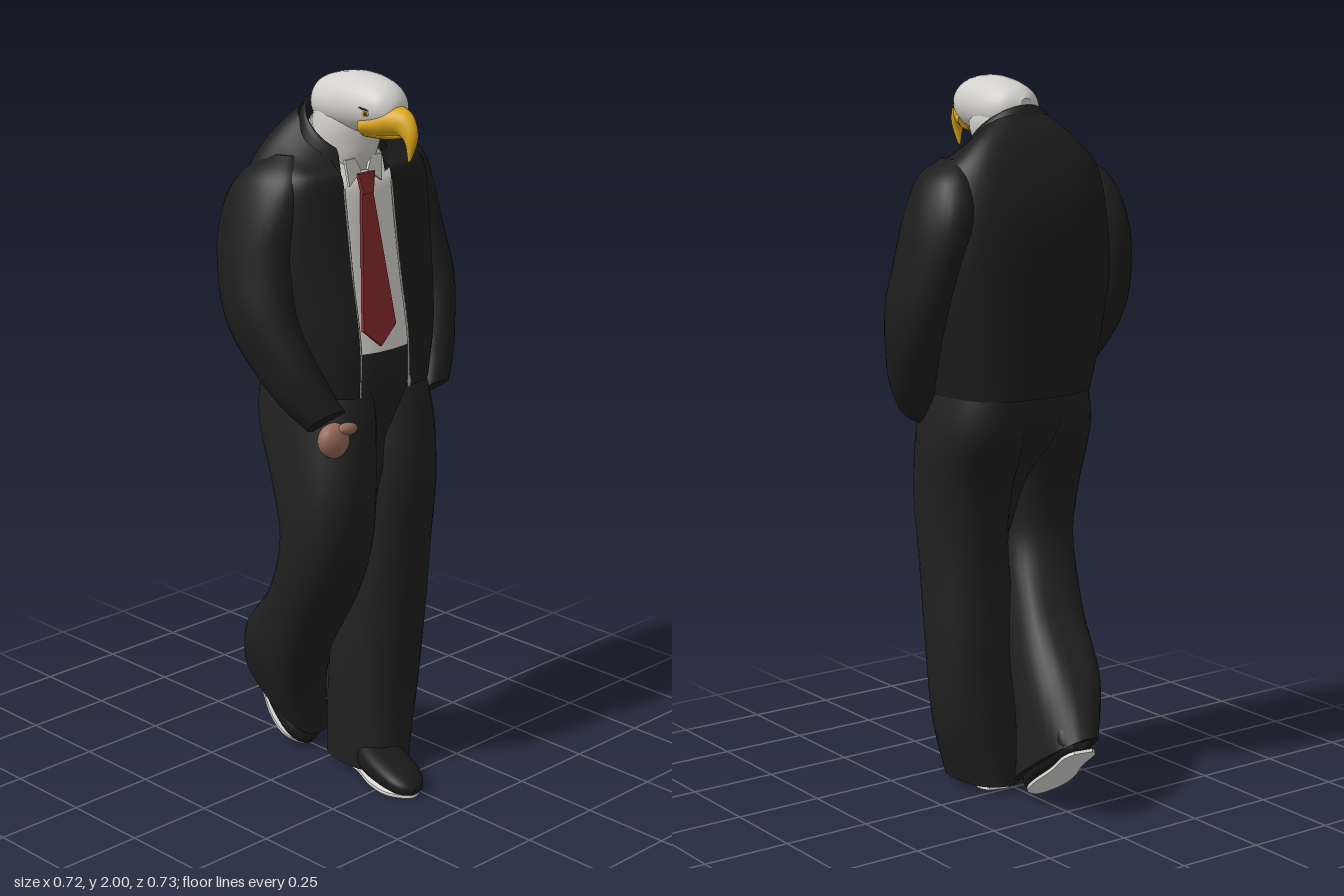
import * as THREE from 'three';

const mat = (name, color, side = THREE.FrontSide) => {
  const m = new THREE.MeshStandardMaterial({ color, side });
  m.name = name;
  return m;
};

// Smooth value of a list of sections [x, y, z, rx, rz, tiltDegrees] at s in 0..1
function sample(secs, s) {
  const f = s * (secs.length - 1), i = Math.min(Math.floor(f), secs.length - 2), t = f - i;
  const at = (k, c) => secs[Math.max(0, Math.min(secs.length - 1, k))][c] ?? 0;
  return [0, 1, 2, 3, 4, 5].map((c) => {
    const p0 = at(i - 1, c), p1 = at(i, c), p2 = at(i + 1, c), p3 = at(i + 2, c);
    return p1 + 0.5 * t * (p2 - p0 + t * (2 * p0 - 5 * p1 + 4 * p2 - p3 + t * (3 * (p1 - p2) + p3 - p0)));
  });
}

// Point on a tilted superellipse section
function ringPoint([x, y, z, rx, rz, tilt], a, n, k = 1) {
  const pw = (v) => Math.sign(v) * Math.abs(v) ** (2 / n);
  const w = k * rz * pw(Math.sin(a)), r = THREE.MathUtils.degToRad(tilt);
  return new THREE.Vector3(x + k * rx * pw(Math.cos(a)), y - w * Math.sin(r), z + w * Math.cos(r));
}

// Angles of a section left uncovered between two x positions at the front
function gapAngles(sec, [xl, xr], n) {
  const ang = (x) => {
    const u = THREE.MathUtils.clamp((x - sec[0]) / sec[3], -0.98, 0.98);
    return Math.acos(Math.sign(u) * Math.abs(u) ** (n / 2));
  };
  return [ang(xl), ang(xr) + Math.PI * 2];
}

// Skin over sections; with a gap the skin stays open at the front
function loft(name, secs, material, { n = 2, rows = 28, cols = 32, fold = 0, gap = null } = {}) {
  const pos = [], idx = [], w = cols + 1;
  for (let i = 0; i <= rows; i++) {
    const s = i / rows, sec = sample(secs, s);
    const [a0, a1] = gap ? gapAngles(sec, gap, n) : [0, Math.PI * 2];
    for (let j = 0; j <= cols; j++) {
      const a = a0 + ((a1 - a0) * j) / cols;
      const k = 1 + fold * (Math.sin(3 * a + 11 * s) + 0.6 * Math.sin(7 * a - 15 * s));
      pos.push(...ringPoint(sec, a, n, k).toArray());
    }
  }
  const col = (j) => (gap ? j : j % cols);
  for (let i = 0; i < rows; i++) for (let j = 0; j < cols; j++) {
    const a = i * w + col(j), b = i * w + col(j + 1);
    idx.push(a, a + w, b, b, a + w, b + w);
  }
  if (!gap) for (const [row, flip] of [[0, false], [rows, true]]) {
    const base = pos.length / 3, c = sample(secs, row / rows);
    pos.push(c[0], c[1], c[2]);
    for (let j = 0; j < cols; j++) {
      const q = (row * w + j) * 3;
      pos.push(pos[q], pos[q + 1], pos[q + 2]);
    }
    for (let j = 0; j < cols; j++) {
      const p = base + 1 + j, q = base + 1 + ((j + 1) % cols);
      idx.push(base, flip ? q : p, flip ? p : q);
    }
  }
  const g = new THREE.BufferGeometry();
  g.setAttribute('position', new THREE.Float32BufferAttribute(pos, 3));
  g.setIndex(idx);
  g.computeVertexNormals();
  const mesh = new THREE.Mesh(g, material);
  mesh.name = name;
  return mesh;
}

export function createModel() {
  const model = new THREE.Group();
  model.name = 'suitedBirdFigure';
  const jacket = mat('jacketBlack', 0x1d1d1d, THREE.DoubleSide), trouser = mat('trouserBlack', 0x202020);
  const shoeBlack = mat('shoeBlack', 0x191919), soleGrey = mat('soleGrey', 0xe2e0dc);
  const shirtWhite = mat('shirtWhite', 0xd6d3cd, THREE.DoubleSide), feather = mat('featherWhite', 0xd2d0cb);
  const beakYellow = mat('beakYellow', 0xdba81c), tieRed = mat('tieRed', 0x8a2b2d, THREE.DoubleSide);
  const skin = mat('skin', 0x966a5a), metal = mat('zipMetal', 0x9a9a98);
  const add = (...m) => model.add(...m);
  const blob = (name, material, p, s) => {
    const m = new THREE.Mesh(new THREE.SphereGeometry(1, 20, 14), material);
    m.name = name;
    m.position.set(...p);
    m.scale.set(...s);
    add(m);
    return m;
  };

  // Trousers: striding legs and seat
  add(loft('leftTrouserLeg', [
    [0.035, 0.02, 0.1, 0.09, 0.13], [0.065, 0.2, 0.09, 0.12, 0.122], [0.08, 0.42, 0.095, 0.128, 0.122],
    [0.092, 0.68, 0.11, 0.119, 0.125], [0.1, 0.88, 0.1, 0.124, 0.148], [0.105, 1.05, 0.05, 0.13, 0.18],
    [0.1, 1.2, 0.03, 0.1, 0.17]], trouser, { n: 2.3, fold: 0.014, rows: 40 }));
  add(loft('rightTrouserLeg', [
    [0.005, 0.14, -0.205, 0.083, 0.175, 34], [-0.045, 0.3, -0.145, 0.114, 0.135, 38], [-0.088, 0.48, -0.02, 0.112, 0.11, 35],
    [-0.127, 0.68, 0.09, 0.115, 0.12, 15], [-0.134, 0.85, 0.1, 0.12, 0.145, 5], [-0.112, 1.05, 0.05, 0.118, 0.18, 0],
    [-0.1, 1.2, 0.03, 0.1, 0.17, 0]], trouser, { n: 2.4, fold: 0.014, rows: 40 }));
  add(loft('trouserSeat', [
    [-0.01, 0.74, 0.1, 0.02, 0.06], [-0.005, 0.9, 0.08, 0.05, 0.11], [0, 1, 0.045, 0.13, 0.145],
    [0, 1.08, 0.035, 0.19, 0.172], [0, 1.17, 0.032, 0.2, 0.185], [0, 1.28, 0.03, 0.19, 0.183]], trouser, { n: 2.3 }));

  // Shoes: heel at the origin, toe toward +z
  const makeShoe = (name, p, pitch, yaw, length) => {
    const g = new THREE.Group();
    g.name = name;
    g.add(loft('shoeUpper', [
      [0, 0.052, 0.005, 0.025, 0.04, 90], [0, 0.056, 0.03, 0.05, 0.05, 90], [0, 0.056, 0.12, 0.055, 0.05, 90],
      [0, 0.047, 0.21, 0.067, 0.042, 90], [0, 0.036, 0.3, 0.059, 0.032, 90], [0, 0.027, 0.345, 0.038, 0.021, 90],
      [0, 0.022, 0.364, 0.008, 0.008, 90]], shoeBlack, { n: 2.6 }));
    const o = new THREE.Shape();
    o.moveTo(-0.028, 0);
    o.splineThru([[-0.049, 0.035], [-0.048, 0.13], [-0.064, 0.23], [-0.053, 0.31], [0, 0.356], [0.053, 0.31],
      [0.064, 0.23], [0.048, 0.13], [0.049, 0.035], [0.028, 0]].map((q) => new THREE.Vector2(...q)));
    const sole = new THREE.Mesh(new THREE.ExtrudeGeometry(o, { depth: 0.009, bevelEnabled: false }), soleGrey);
    sole.name = 'sole';
    sole.rotation.x = Math.PI / 2;
    sole.position.y = 0.009;
    g.add(sole);
    g.position.set(...p);
    g.rotation.set(pitch, yaw, 0, 'YXZ');
    g.scale.z = length;
    add(g);
  };
  makeShoe('leftShoe', [0.045, 0, 0.01], 0, -0.25, 1.01);
  makeShoe('rightShoe', [0.027, 0.205, -0.357], 0.65, -0.17, 0.93);

  // Shirt
  add(loft('shirt', [
    [0, 1.26, 0.03, 0.2, 0.19], [0, 1.5, 0.01, 0.22, 0.175], [0, 1.68, 0.005, 0.2, 0.158],
    [-0.01, 1.77, 0.02, 0.13, 0.13, 18], [-0.02, 1.825, 0.05, 0.085, 0.09, 36]], shirtWhite, { n: 2.3 }));

  // Flat pieces lying on the sloping shirt front
  const onShirt = (name, pts, material, lift, depth) => {
    const g = new THREE.ExtrudeGeometry(new THREE.Shape(pts.map((q) => new THREE.Vector2(...q))),
      { depth, bevelEnabled: false });
    const a = g.attributes.position;
    for (let i = 0; i < a.count; i++) a.setZ(i, a.getZ(i) + 0.22 - (a.getY(i) - 1.26) * 0.135 + lift);
    g.computeVertexNormals();
    const m = new THREE.Mesh(g, material);
    m.name = name;
    add(m);
  };
  const tx = -0.045;
  onShirt('tieBlade', [[tx, 1.28], [tx + 0.061, 1.33], [tx + 0.02, 1.69], [tx - 0.02, 1.69], [tx - 0.061, 1.33]], tieRed, 0.001, 0.009);
  onShirt('tieKnot', [[tx - 0.018, 1.685], [tx + 0.018, 1.685], [tx + 0.03, 1.74], [tx - 0.03, 1.74]], tieRed, 0.002, 0.012);
  for (const s of [-1, 1])
    onShirt('shirtCollarWing', [[tx + s * 0.012, 1.745], [tx + s * 0.06, 1.71], [tx + s * 0.066, 1.78], [tx + s * 0.03, 1.78]], shirtWhite, -0.002, 0.008);

  // Open jacket with a zip along each front edge
  const body = [
    [0, 1.15, 0.037, 0.215, 0.2], [0, 1.3, 0.028, 0.25, 0.203], [0, 1.5, 0.008, 0.275, 0.186],
    [0, 1.65, 0.003, 0.272, 0.171], [0, 1.745, 0.01, 0.248, 0.152, 5], [0, 1.8, 0.022, 0.185, 0.13, 22],
    [-0.01, 1.835, 0.042, 0.12, 0.113, 38]];
  const gap = [-0.12, 0.05];
  add(loft('jacketBody', body, jacket, { n: 2.9, rows: 40, cols: 56, fold: 0.006, gap }));
  for (const e of [0, 1]) {
    const pts = [0, 0.15, 0.3, 0.45, 0.6].map((s) => {
      const sec = sample(body, s);
      return ringPoint(sec, gapAngles(sec, gap, 2.9)[e], 2.9);
    });
    const zip = new THREE.Mesh(new THREE.TubeGeometry(new THREE.CatmullRomCurve3(pts), 30, 0.003, 6), metal);
    zip.name = 'zip';
    add(zip);
  }
  blob('zipPull', metal, [0.05, 1.165, 0.238], [0.007, 0.018, 0.004]);

  // Turned-down collar, high at the nape and low at the chest
  add(loft('jacketCollar', [
    [-0.01, 1.778, 0.045, 0.148, 0.146, 40], [-0.018, 1.842, 0.052, 0.12, 0.122, 41],
    [-0.02, 1.85, 0.052, 0.105, 0.108, 41], [-0.02, 1.805, 0.05, 0.1, 0.1, 41]], jacket, { gap: [-0.1, 0.05] }));

  // Sleeves, bent forward toward the pockets
  const sleeve = (name, secs) => add(loft(name, secs, jacket, { rows: 40, fold: 0.018 }));
  sleeve('rightSleeve', [
    [-0.207, 1.095, 0.182, 0.055, 0.056, -40], [-0.25, 1.19, 0.12, 0.068, 0.078, -35],
    [-0.283, 1.35, 0.02, 0.076, 0.108, -15], [-0.27, 1.5, -0.02, 0.08, 0.125],
    [-0.247, 1.64, -0.02, 0.073, 0.125], [-0.222, 1.735, -0.008, 0.055, 0.098], [-0.19, 1.787, 0.005, 0.02, 0.04]]);
  sleeve('leftSleeve', [
    [0.212, 1.095, 0.165, 0.053, 0.056, -35], [0.253, 1.19, 0.125, 0.066, 0.075, -28],
    [0.285, 1.35, 0.06, 0.074, 0.103, -15], [0.275, 1.5, 0.015, 0.077, 0.12],
    [0.255, 1.64, -0.01, 0.073, 0.125], [0.232, 1.74, -0.003, 0.055, 0.098], [0.2, 1.793, 0.005, 0.02, 0.04]]);

  // Right hand at the pocket, left hand inside it
  blob('rightHand', skin, [-0.19, 1.042, 0.195], [0.055, 0.048, 0.035]).rotation.z = -0.5;
  blob('rightThumb', skin, [-0.16, 1.073, 0.215], [0.036, 0.017, 0.017]).rotation.z = -0.1;
  blob('leftPocketBulge', trouser, [0.185, 1.03, 0.115], [0.047, 0.09, 0.06]);

  // Head and neck
  add(loft('neck', [
    [-0.02, 1.74, 0.05, 0.075, 0.09], [-0.025, 1.8, 0.062, 0.08, 0.102], [-0.02, 1.88, 0.075, 0.088, 0.1],
    [-0.02, 1.94, 0.07, 0.07, 0.08]], feather, { fold: 0.008 }));
  add(loft('head', [
    [-0.02, 1.92, -0.03, 0.02, 0.025, 90], [-0.02, 1.913, 0, 0.066, 0.06, 90], [-0.02, 1.915, 0.06, 0.089, 0.077, 90],
    [-0.024, 1.92, 0.13, 0.091, 0.08, 90], [-0.03, 1.92, 0.2, 0.08, 0.072, 90], [-0.037, 1.92, 0.25, 0.06, 0.054, 90],
    [-0.04, 1.913, 0.277, 0.034, 0.034, 90], [-0.041, 1.91, 0.285, 0.01, 0.01, 90]], feather, { rows: 40 }));

  // Hooked beak
  add(loft('upperBeak', [
    [-0.032, 1.875, 0.195, 0.077, 0.036, 90], [-0.038, 1.886, 0.25, 0.059, 0.042, 90], [-0.043, 1.89, 0.285, 0.041, 0.038, 100],
    [-0.047, 1.881, 0.315, 0.026, 0.031, 122], [-0.051, 1.848, 0.335, 0.016, 0.019, 155],
    [-0.054, 1.795, 0.33, 0.003, 0.004, 190]], beakYellow));
  add(loft('lowerBeak', [
    [-0.034, 1.856, 0.185, 0.052, 0.02, 90], [-0.04, 1.855, 0.25, 0.035, 0.016, 90],
    [-0.044, 1.856, 0.3, 0.008, 0.006, 90]], beakYellow));

  // Eyes under dark brow lines
  for (const s of [-1, 1]) {
    blob('eye', beakYellow, [-0.033 + s * 0.067, 1.911, 0.218], [0.009, 0.009, 0.014]);
    blob('pupil', shoeBlack, [-0.033 + s * 0.073, 1.911, 0.222], [0.004, 0.005, 0.006]);
    blob('browLine', shoeBlack, [-0.033 + s * 0.065, 1.921, 0.222], [0.009, 0.004, 0.026]).rotation.set(0.2, -s * 0.35, 0);
  }
  return model;
}
